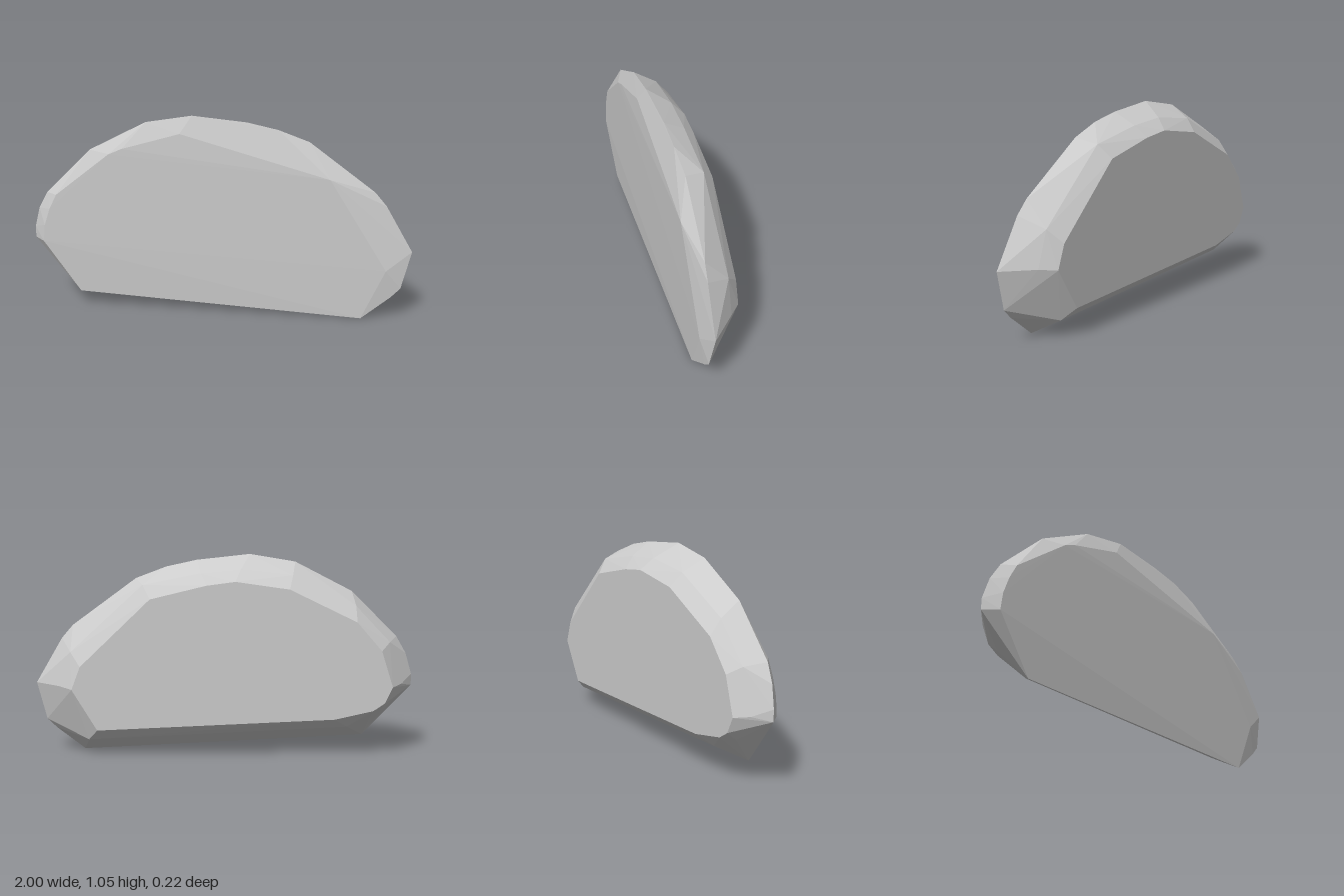
import * as THREE from 'three';
import { ConvexGeometry } from 'three/addons/geometries/ConvexGeometry.js';

// Widest outline of the stone: x, y, z
const rim = [
  [-1, 0.36, 0.03], [-1, 0.42, 0.03], [-0.97, 0.53, 0.04], [-0.92, 0.62, 0.05],
  [-0.68, 0.86, 0.06], [-0.38, 1.015, 0.065], [-0.14, 1.055, 0.07], [0.14, 1.025, 0.06],
  [0.3, 0.99, 0.06], [0.46, 0.93, 0.055], [0.8, 0.68, 0.07], [0.86, 0.61, 0.075],
  [1, 0.37, 0.08], [0.95, 0.17, 0.09], [0.9, 0.12, 0.095], [0.75, 0, 0.107], [-0.75, 0.08, 0.085],
];

// Slightly domed front: x, y, z
const front = [
  [-0.94, 0.36, 0.095], [-0.93, 0.45, 0.096], [-0.9, 0.54, 0.097], [-0.86, 0.62, 0.098],
  [-0.57, 0.85, 0.105], [-0.5, 0.88, 0.105], [-0.2, 0.965, 0.1], [0.57, 0.75, 0.112],
  [0.87, 0.27, 0.112],
];

// Bevel between the rim and the flat back: x, y, at z = -0.05
const bevel = [
  [0.42, 0.9], [0.12, 0.96], [-0.09, 0.98], [-0.36, 0.95], [-0.69, 0.79], [-0.87, 0.6],
  [-0.935, 0.38], [-0.83, 0.235], [-0.65, 0.15], [0.71, 0.085], [0.86, 0.37], [0.8, 0.55],
];

// Flat back: x, y, at z = -0.11
const back = [
  [0.38, 0.83], [0.09, 0.9], [-0.06, 0.92], [-0.34, 0.88], [-0.69, 0.71], [-0.82, 0.56],
  [-0.88, 0.37], [-0.84, 0.285], [-0.78, 0.245], [-0.58, 0.2], [0.66, 0.145], [0.79, 0.36],
  [0.745, 0.48],
];

export function createModel() {
  const atDepth = (ring, z) => ring.map(([x, y]) => new THREE.Vector3(x, y, z));
  const points = [
    ...[...rim, ...front].map((p) => new THREE.Vector3(...p)),
    ...atDepth(bevel, -0.05),
    ...atDepth(back, -0.11),
  ];

  // Faceted convex stone
  const stone = new THREE.Mesh(
    new ConvexGeometry(points),
    new THREE.MeshStandardMaterial({ color: 0xcccccc, flatShading: true }),
  );
  stone.name = 'stone';

  const group = new THREE.Group();
  group.name = 'flatStone';
  group.add(stone);
  return group;
}
